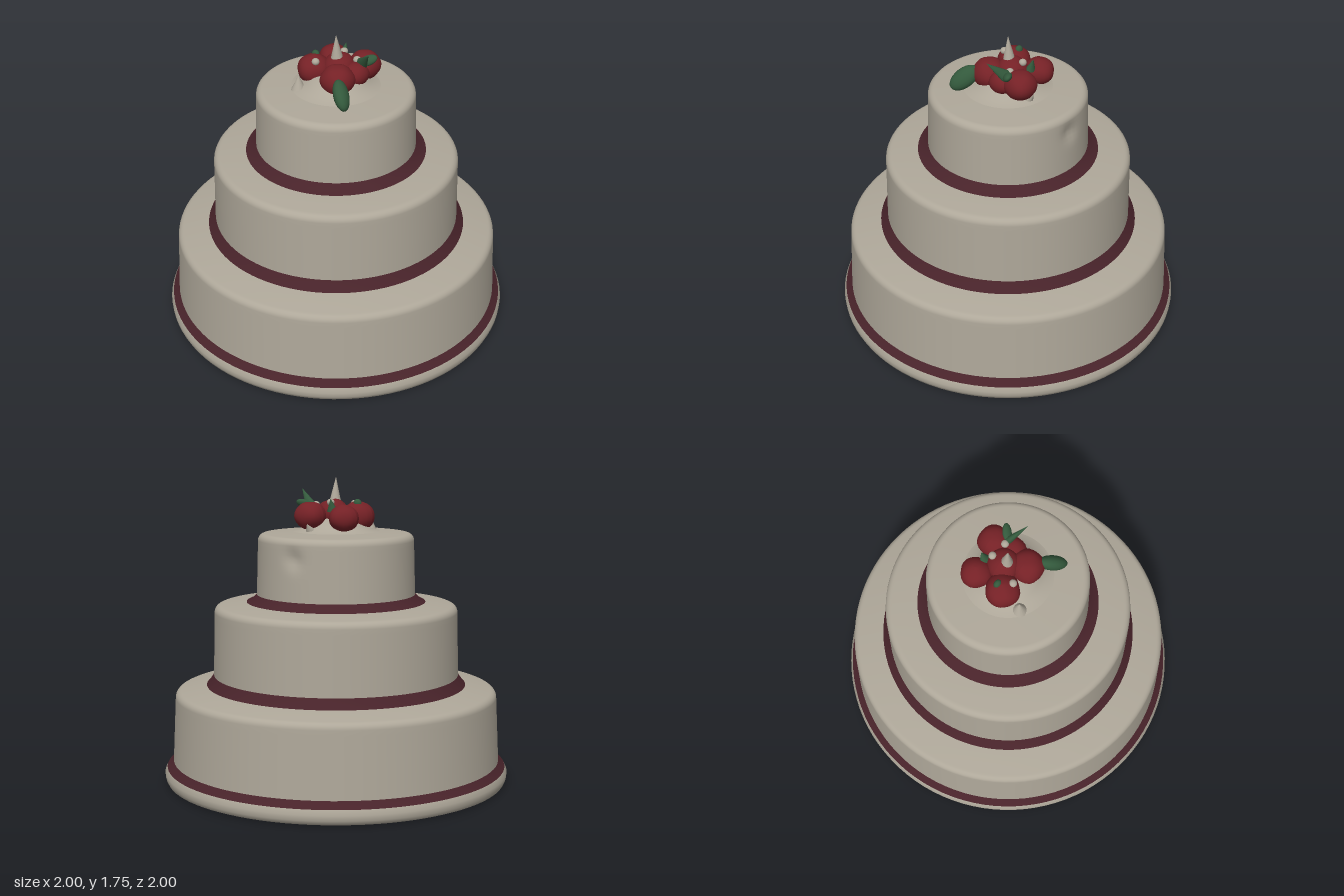
import * as THREE from 'three';

const material = (name, color) => {
  const m = new THREE.MeshStandardMaterial({ color });
  m.name = name;
  return m;
};

export function createModel() {
  const cream = material('cream icing', 0xaea799);
  const ribbonRed = material('dark red ribbon', 0x48232a);
  const berryRed = material('berry red', 0x752126);
  const leafGreen = material('leaf green', 0x33593c);
  const cake = new THREE.Group();
  cake.name = 'tieredCake';

  const add = (name, geometry, mat, pos = [0, 0, 0]) => {
    const mesh = new THREE.Mesh(geometry, mat);
    mesh.name = name;
    mesh.position.set(...pos);
    cake.add(mesh);
    return mesh;
  };
  const lathe = (name, profile, mat) =>
    add(name, new THREE.LatheGeometry(profile.map(p => new THREE.Vector2(...p)), 96), mat);

  // Side wall with a rounded shoulder, then a gently rising top
  const tier = (name, r0, y0, r1, y1, rIn, yIn) => {
    const profile = [];
    for (let i = 0; i <= 12; i++) {
      const t = i / 12;
      profile.push([r0 + (r1 - r0) * t, y0 + (y1 - 0.04 - y0) * t]);
    }
    for (let i = 1; i <= 6; i++) {
      const a = (i / 6) * Math.PI / 2;
      profile.push([r1 - 0.04 * (1 - Math.cos(a)), y1 - 0.04 + 0.04 * Math.sin(a)]);
    }
    profile.push([rIn + (r1 - 0.04 - rIn) * 0.5, (y1 + yIn) / 2 + 0.002], [rIn, yIn]);
    return lathe(name, profile, cream);
  };

  // Base board and the ribbons at the foot of each tier
  lathe('baseBoard', [[0, 0], [0.965, 0], [0.985, 0.008], [0.995, 0.03], [0.998, 0.06], [0.985, 0.088]], cream);
  lathe('bottomRibbon', [[0.985, 0.088], [0.965, 0.105], [0.948, 0.125]], ribbonRed);
  tier('bottomTier', 0.948, 0.125, 0.93, 0.535, 0.75, 0.562);
  lathe('middleRibbon', [[0.75, 0.562], [0.73, 0.585], [0.708, 0.618]], ribbonRed);
  tier('middleTier', 0.708, 0.618, 0.7, 1.025, 0.515, 1.042);
  lathe('topRibbon', [[0.515, 1.042], [0.485, 1.056], [0.456, 1.085]], ribbonRed);
  const top = tier('topTier', 0.456, 1.085, 0.447, 1.435, 0, 1.455);

  // Small dent in the icing at the back of the top tier
  const p = top.geometry.attributes.position;
  for (let i = 0; i < p.count; i++) {
    const x = p.getX(i), y = p.getY(i), z = p.getZ(i);
    if (z > -0.3) continue;
    const d2 = (x * x + (y - 1.32) ** 2) / 0.0025;
    p.setZ(i, z + 0.02 * Math.exp(-d2));
  }
  p.needsUpdate = true;
  const n = top.geometry.attributes.normal, seam = n.clone();
  top.geometry.computeVertexNormals();
  const fixed = top.geometry.attributes.normal;
  for (let i = 0; i < p.count; i++) {
    if (p.getZ(i) > -0.3) fixed.setXYZ(i, seam.getX(i), seam.getY(i), seam.getZ(i));
  }

  // Whipped cream bed under the fruit
  lathe('creamBed', [[0.25, 1.447], [0.205, 1.46], [0.175, 1.485], [0.13, 1.52], [0, 1.55]], cream);

  // Berries, slightly lumpy
  const berry = (x, y, z, r, sy = 0.9) => {
    const g = new THREE.SphereGeometry(r, 24, 16);
    const q = g.attributes.position;
    for (let i = 0; i < q.count; i++) {
      const v = new THREE.Vector3().fromBufferAttribute(q, i);
      v.multiplyScalar(1 + 0.05 * Math.sin(v.x * 45 + x * 20) * Math.cos(v.z * 45) * Math.cos(v.y * 30));
      q.setXYZ(i, v.x, v.y * sy, v.z);
    }
    g.computeVertexNormals();
    add('berry', g, berryRed, [x, y, z]);
  };
  berry(-0.125, 1.53, -0.12, 0.085);
  berry(0.075, 1.54, -0.155, 0.09);
  berry(-0.115, 1.53, 0.055, 0.095);
  berry(0.075, 1.53, 0.07, 0.095);
  berry(0, 1.55, -0.03, 0.09);
  berry(0.1, 1.53, -0.05, 0.075);

  // Cone or ellipsoid stretched from one point to another
  const spike = (name, from, to, r, mat, flat = 1, round = false) => {
    const a = new THREE.Vector3(...from), b = new THREE.Vector3(...to);
    const len = a.distanceTo(b);
    const g = round ? new THREE.SphereGeometry(0.5, 16, 12).scale(2 * r, len, 2 * r * flat)
      : new THREE.ConeGeometry(r, len, 16).scale(1, 1, flat);
    const mesh = add(name, g, mat, a.clone().add(b).multiplyScalar(0.5).toArray());
    mesh.quaternion.setFromUnitVectors(new THREE.Vector3(0, 1, 0), b.sub(a).normalize());
  };

  // Central cream peak and the smaller peaks around it
  spike('creamPeak', [0, 1.58, -0.01], [0, 1.755, 0], 0.042, cream);
  spike('creamPeak', [-0.12, 1.44, 0.175], [-0.12, 1.53, 0.175], 0.045, cream);
  spike('creamPeak', [0.05, 1.44, -0.18], [0.05, 1.5, -0.23], 0.04, cream);
  for (const [x, y, z] of [[0.08, 1.598, -0.085], [-0.07, 1.6, 0.09], [-0.02, 1.615, -0.09], [0.03, 1.575, 0.09]]) {
    spike('creamDab', [x, y - 0.02, z], [x, y + 0.02, z], 0.022, cream, 1, true);
  }

  // Leaves
  spike('frontLeaf', [0.12, 1.565, 0.115], [0.245, 1.455, 0.205], 0.055, leafGreen, 0.75, true);
  spike('tallLeaf', [0.09, 1.56, -0.1], [0.21, 1.685, -0.03], 0.045, leafGreen, 0.6);
  spike('sideLeaf', [0.1, 1.58, -0.08], [0.17, 1.62, -0.15], 0.03, leafGreen, 0.7, true);
  spike('smallLeaf', [-0.05, 1.57, -0.12], [-0.05, 1.64, -0.14], 0.032, leafGreen, 0.8);
  spike('smallLeaf', [-0.13, 1.58, 0.03], [-0.12, 1.63, 0.03], 0.025, leafGreen, 0.8, true);

  return cake;
}
